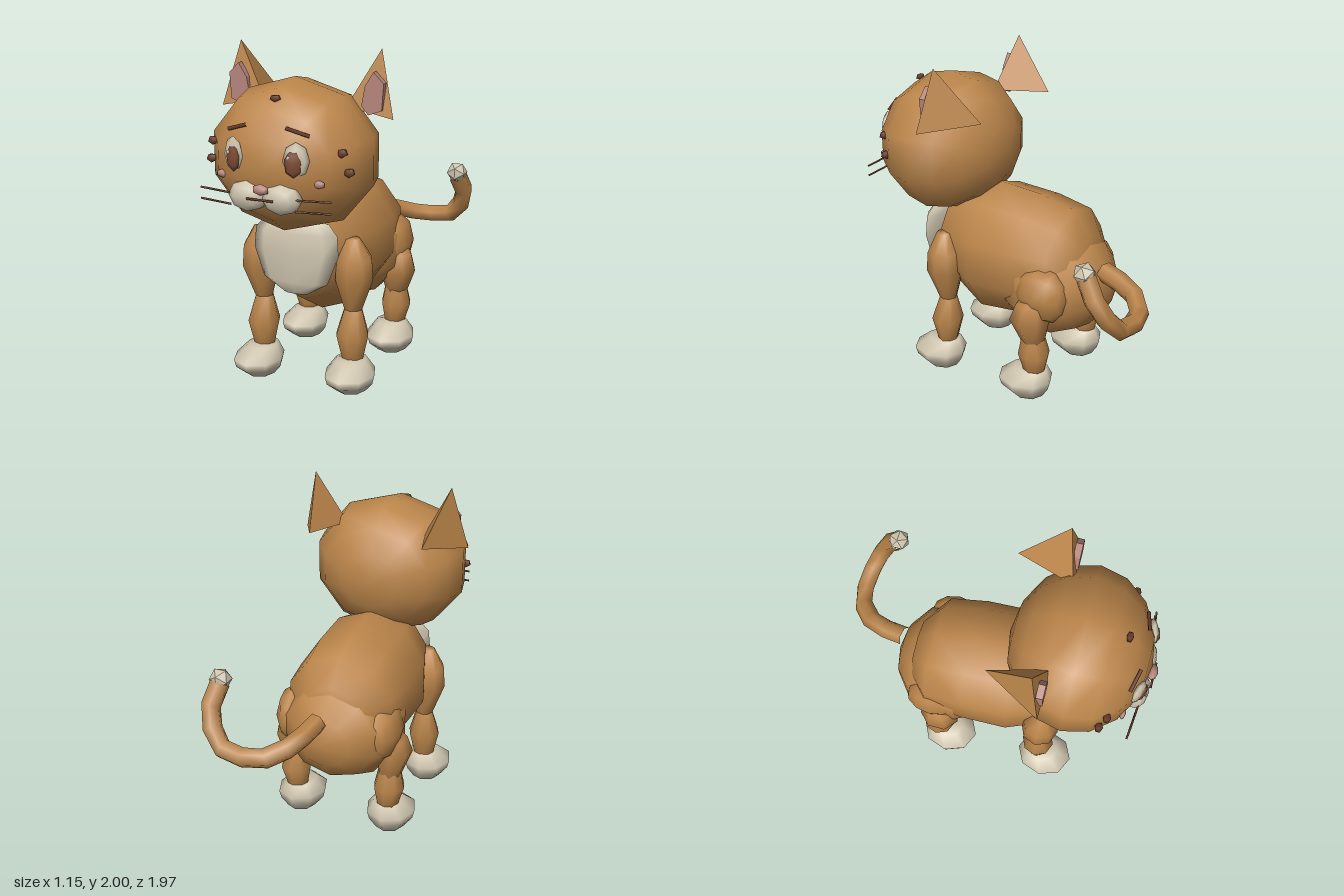
import * as THREE from 'three';
import { ConvexGeometry } from 'three/addons/geometries/ConvexGeometry.js';

const material = (name, color) => {
  const m = new THREE.MeshStandardMaterial({ color });
  m.name = name;
  return m;
};

// Closed skin over elliptical rings [t, a, b, ra, rb].
// Axis y: rings run upwards with centre (a, t, b). Axis z: rings run front to back with centre (a, b, t).
function loft(rings, sides, axis = 'y', turn = 0) {
  const pos = [], idx = [];
  const put = (t, a, b) => (axis === 'y' ? pos.push(a, t, b) : pos.push(a, b, t));
  for (const [t, a, b, ra, rb] of rings) {
    for (let i = 0; i < sides; i++) {
      const q = turn + (i / sides) * Math.PI * 2;
      put(t, a + ra * Math.cos(q), b + rb * Math.sin(q));
    }
  }
  const last = rings.length - 1, c0 = rings.length * sides, c1 = c0 + 1;
  put(...rings[0]);
  put(...rings[last]);
  for (let i = 0; i < sides; i++) {
    const j = (i + 1) % sides;
    for (let r = 0; r < last; r++) {
      const p = r * sides, n = p + sides;
      idx.push(p + i, n + i, p + j, p + j, n + i, n + j);
    }
    idx.push(c0, i, j, c1, last * sides + j, last * sides + i);
  }
  const g = new THREE.BufferGeometry();
  g.setAttribute('position', new THREE.Float32BufferAttribute(pos, 3));
  g.setIndex(idx);
  g.computeVertexNormals();
  return g;
}

// Low-poly ball whose poles face front and back
function ball(sides, rows) {
  return new THREE.SphereGeometry(1, sides, rows).rotateY(Math.PI / 2).rotateX(Math.PI / 2);
}

// Depth of the face surface at a point seen from the front
const faceZ = (x, y) =>
  0.53 + 0.41 * Math.sqrt(Math.max(0, 1 - (x / 0.475) ** 2 - ((y - 1.42) / 0.44) ** 2));

export function createModel() {
  const fur = material('orange fur', 0xbb854a);
  const cream = material('cream fur', 0xcfc5af);
  const pink = material('pink skin', 0xb5857c);
  const dark = material('dark brown markings', 0x6a3f2c);
  const iris = material('brown iris', 0x7c4b34);

  const model = new THREE.Group();
  model.name = 'cat';
  const cat = new THREE.Group();
  cat.name = 'catBody';
  cat.position.x = -0.055;
  model.add(cat);

  const add = (name, geometry, mat) => {
    const m = new THREE.Mesh(geometry, mat);
    m.name = name;
    cat.add(m);
    return m;
  };
  const blob = (name, mat, p, r, sides = 7, rows = 5) => {
    const m = add(name, ball(sides, rows), mat);
    m.position.set(...p);
    m.scale.set(...r);
    return m;
  };
  const rod = (name, mat, from, to, radius) => {
    const a = new THREE.Vector3(...from), b = new THREE.Vector3(...to);
    return add(name, new THREE.TubeGeometry(new THREE.LineCurve3(a, b), 1, radius, 5), mat);
  };

  // Torso, hips and bib
  add('torso', loft([
    [0.53, 0, 0.84, 0.14, 0.18],
    [0.45, 0, 0.83, 0.28, 0.31],
    [0.19, 0, 0.79, 0.37, 0.42],
    [-0.1, -0.01, 0.795, 0.37, 0.39],
    [-0.33, -0.02, 0.81, 0.34, 0.32],
    [-0.45, -0.02, 0.78, 0.2, 0.2],
  ], 10, 'z', Math.PI / 10), fur);
  blob('hips', fur, [-0.01, 0.67, -0.23], [0.38, 0.34, 0.36], 10, 7);
  add('bib', loft([
    [0.6, 0.01, 0.57, 0.07, 0.015],
    [0.68, 0.01, 0.575, 0.2, 0.05],
    [0.85, 0.01, 0.565, 0.265, 0.06],
    [0.97, 0.01, 0.56, 0.255, 0.065],
    [1.03, 0.01, 0.55, 0.2, 0.04],
  ], 8), cream);

  // Head
  blob('head', fur, [0.005, 1.415, 0.535], [0.49, 0.435, 0.415], 10, 8);

  // Tail and its tip
  const tailPath = new THREE.CatmullRomCurve3([
    [0.02, 0.81, -0.56], [0.07, 0.76, -0.78], [0.23, 0.7, -0.915],
    [0.46, 0.73, -0.905], [0.565, 0.89, -0.83], [0.54, 1.04, -0.74],
  ].map((p) => new THREE.Vector3(...p)), false, 'catmullrom', 0.3);
  add('tail', new THREE.TubeGeometry(tailPath, 8, 0.06, 6), fur);
  const tip = add('tailTip', new THREE.IcosahedronGeometry(0.068), cream);
  tip.position.set(0.54, 1.06, -0.73);

  // Muzzle centre
  blob('nose', pink, [0.005, 1.315, 0.965], [0.052, 0.032, 0.03], 6, 4);
  rod('mouth', dark, [-0.075, 1.262, 0.975], [0.085, 1.262, 0.975], 0.007);
  blob('foreheadSpot', dark, [0.005, 1.77, faceZ(0, 1.77)], [0.035, 0.022, 0.02], 5, 3);

  for (const s of [1, -1]) {
    const side = s > 0 ? 'left' : 'right';

    // Ears
    const corners = [[0.435, 2, 0.34], [0.53, 1.625, 0.405], [0.255, 1.68, 0.41], [0.355, 1.7, 0.07]];
    add(side + 'Ear', new ConvexGeometry(corners.map(([x, y, z]) => new THREE.Vector3(s * x, y, z))), fur);
    const innerShape = new THREE.Shape(
      [[0.415, 1.88], [0.475, 1.82], [0.465, 1.67], [0.385, 1.64], [0.345, 1.69], [0.365, 1.8]]
        .map(([x, y]) => new THREE.Vector2(s * x, y)));
    const inner = add(side + 'InnerEar',
      new THREE.ExtrudeGeometry(innerShape, { depth: 0.04, bevelEnabled: false }), pink);
    inner.position.z = 0.375;

    // Eyes
    const eyeZ = faceZ(0.185, 1.475);
    const white = blob(side + 'EyeWhite', cream, [s * 0.185, 1.475, eyeZ], [0.072, 0.1, 0.028], 8, 4);
    const pupil = blob(side + 'Iris', iris, [s * 0.178, 1.462, eyeZ + 0.02], [0.05, 0.076, 0.022], 7, 4);
    white.rotation.y = pupil.rotation.y = s * 0.35;
    blob(side + 'EyeShine', cream, [s * 0.178 - 0.02, 1.495, eyeZ + 0.038], [0.012, 0.014, 0.006], 5, 3);
    rod(side + 'Eyebrow', dark,
      [s * 0.115, 1.64, faceZ(0.115, 1.64) + 0.01], [s * 0.24, 1.6, faceZ(0.24, 1.6) + 0.01], 0.011);

    // Muzzle, cheeks and whiskers
    blob(side + 'Muzzle', cream, [s * 0.1, 1.26, 0.905], [0.118, 0.09, 0.068], 8, 5);
    blob(side + 'Cheek', pink, [s * 0.285, 1.347, faceZ(0.285, 1.347)], [0.042, 0.025, 0.018], 6, 4);
    for (const y of [1.275, 1.212]) {
      rod(side + 'Whisker', dark, [s * 0.19, y - 0.006, 0.93], [s * 0.39, y, 0.91], 0.006);
    }

    // Side spots
    for (const [x, y] of [[0.385, 1.505], [0.415, 1.395]]) {
      blob(side + 'Spot', dark, [s * x, y, faceZ(x, y) + 0.01], [0.035, 0.028, 0.024], 5, 3);
    }

    // Front leg
    add(side + 'FrontUpperLeg', loft([
      [0.47, s * 0.29, 0.39, 0.05, 0.05],
      [0.68, s * 0.3, 0.4, 0.118, 0.115],
      [0.8, s * 0.3, 0.4, 0.11, 0.105],
      [0.92, s * 0.29, 0.41, 0.05, 0.045],
    ], 8), fur);
    add(side + 'FrontLowerLeg', loft([
      [0.15, s * 0.29, 0.4, 0.06, 0.05],
      [0.33, s * 0.29, 0.4, 0.1, 0.1],
      [0.5, s * 0.29, 0.39, 0.05, 0.05],
    ], 8), fur);

    // Hind leg
    blob(side + 'Haunch', fur, [s * 0.28, 0.69, -0.29], [0.115, 0.19, 0.17], 8, 6);
    add(side + 'HindUpperLeg', loft([
      [0.35, s * 0.31, -0.26, 0.06, 0.06],
      [0.53, s * 0.33, -0.24, 0.11, 0.125],
      [0.63, s * 0.32, -0.25, 0.09, 0.1],
      [0.73, s * 0.3, -0.28, 0.03, 0.04],
    ], 7), fur);
    add(side + 'HindLowerLeg', loft([
      [0.15, s * 0.3, -0.26, 0.06, 0.06],
      [0.3, s * 0.31, -0.26, 0.095, 0.1],
      [0.5, s * 0.31, -0.25, 0.05, 0.05],
    ], 8), fur);

    // Paws
    for (const [name, z] of [['FrontPaw', 0.455], ['HindPaw', -0.195]]) {
      add(side + name, loft([
        [0, s * 0.3, z - 0.02, 0.09, 0.1],
        [0.06, s * 0.3, z, 0.14, 0.16],
        [0.11, s * 0.3, z, 0.152, 0.175],
        [0.185, s * 0.29, z - 0.03, 0.09, 0.11],
      ], 8), cream);
    }
  }
  return model;
}
